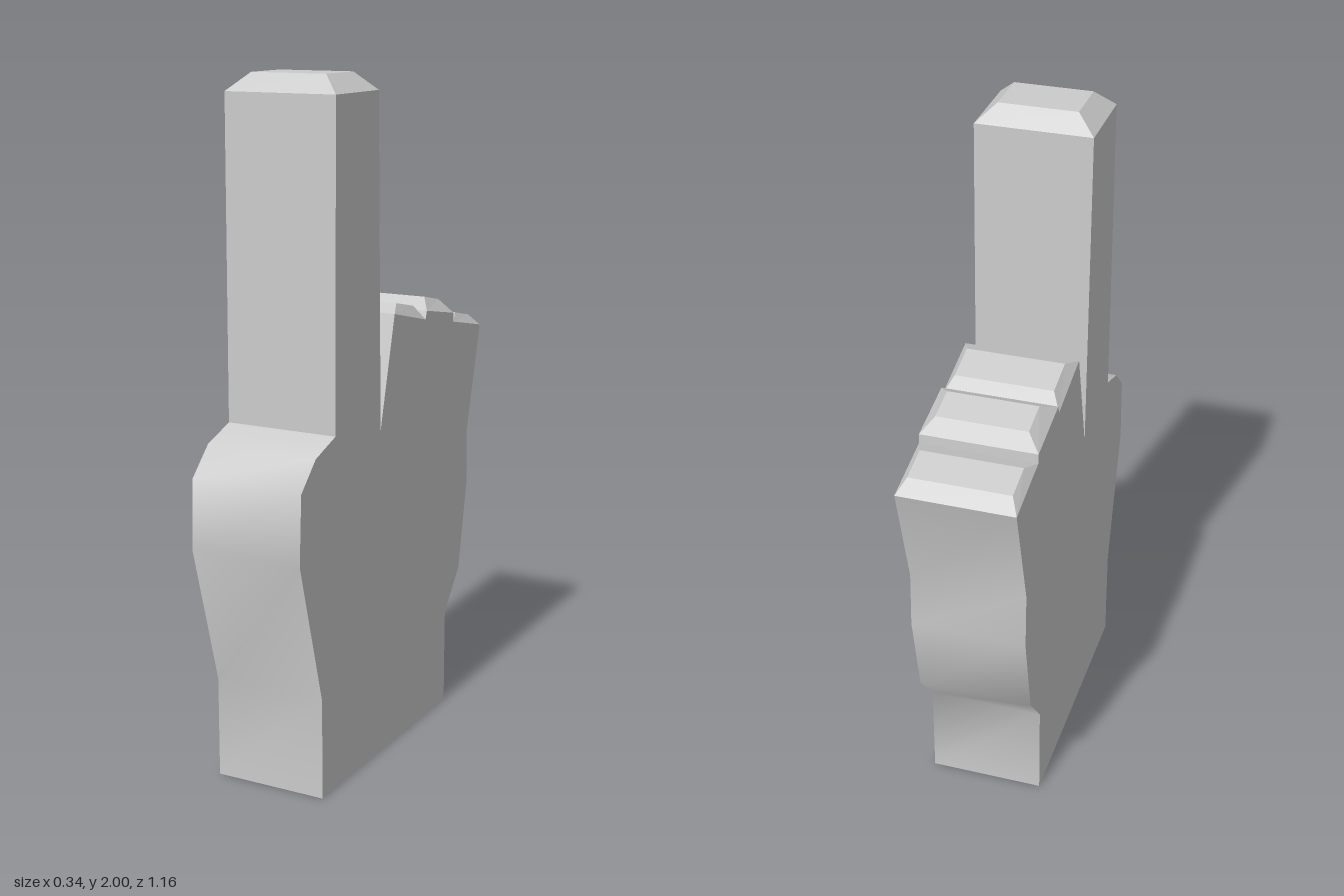
import * as THREE from 'three';
import { toCreasedNormals } from 'three/addons/utils/BufferGeometryUtils.js';

const HALF = 0.17; // half thickness of the hand

// Side outline as [z, y]; fingers stop where their bevelled tips begin
const OUTLINE = [
  [0.46, 0], [0.46, 0.295], [0.58, 0.72], [0.57, 0.92], [0.49, 0.998], [0.38, 1.035], // thumb side
  [0.375, 1.95], [0.13, 1.95], [0.11, 0.99], // raised finger
  [0.025, 1.315], [-0.18, 1.265], [-0.188, 1.29], [-0.378, 1.253], [-0.38, 1.225], [-0.578, 1.183], // folded fingers
  [-0.488, 0.85], [-0.495, 0.68], [-0.443, 0.415], [-0.345, 0.295], [-0.345, 0], // heel of the hand
];

// Bevelled cap: base and top edges given as front and back [z, y], top narrowed to topHalf
function bevelTip(base, top, topHalf) {
  const ring = ([f, b], h) => [[h, f], [h, b], [-h, b], [-h, f]].map(([x, [z, y]]) => [x, y, z]);
  const points = [...ring(base, HALF), ...ring(top, topHalf)];
  const index = [4, 5, 6, 4, 6, 7];
  for (let i = 0; i < 4; i++) {
    const j = (i + 1) % 4;
    index.push(i, j, j + 4, i, j + 4, i + 4);
  }
  const indexed = new THREE.BufferGeometry();
  indexed.setAttribute('position', new THREE.Float32BufferAttribute(points.flat(), 3));
  indexed.setIndex(index);
  const geometry = indexed.toNonIndexed();
  geometry.computeVertexNormals();
  return geometry;
}

export function createModel() {
  const group = new THREE.Group();
  group.name = 'pointingFoamHand';
  const material = new THREE.MeshStandardMaterial({ color: 0xcccccc });
  const add = (name, geometry) => {
    const mesh = new THREE.Mesh(geometry, material);
    mesh.name = name;
    group.add(mesh);
  };

  // Hand slab: shape x runs along -z, extruded across x
  const shape = new THREE.Shape(OUTLINE.map(([z, y]) => new THREE.Vector2(-z, y)));
  const slab = new THREE.ExtrudeGeometry(shape, { depth: 2 * HALF, bevelEnabled: false });
  slab.translate(0, 0, -HALF).rotateY(Math.PI / 2);
  add('hand', toCreasedNormals(slab, 0.8));

  // Fingertip caps
  add('indexFingertip', bevelTip([[0.375, 1.95], [0.13, 1.95]], [[0.327, 2], [0.175, 2]], 0.115));
  add('middleKnuckle', bevelTip([[0.025, 1.315], [-0.18, 1.265]], [[-0.035, 1.335], [-0.145, 1.31]], 0.145));
  add('ringKnuckle', bevelTip([[-0.188, 1.29], [-0.378, 1.253]], [[-0.247, 1.32], [-0.345, 1.298]], 0.133));
  add('littleKnuckle', bevelTip([[-0.38, 1.225], [-0.578, 1.183]], [[-0.437, 1.243], [-0.537, 1.22]], 0.147));

  return group;
}
